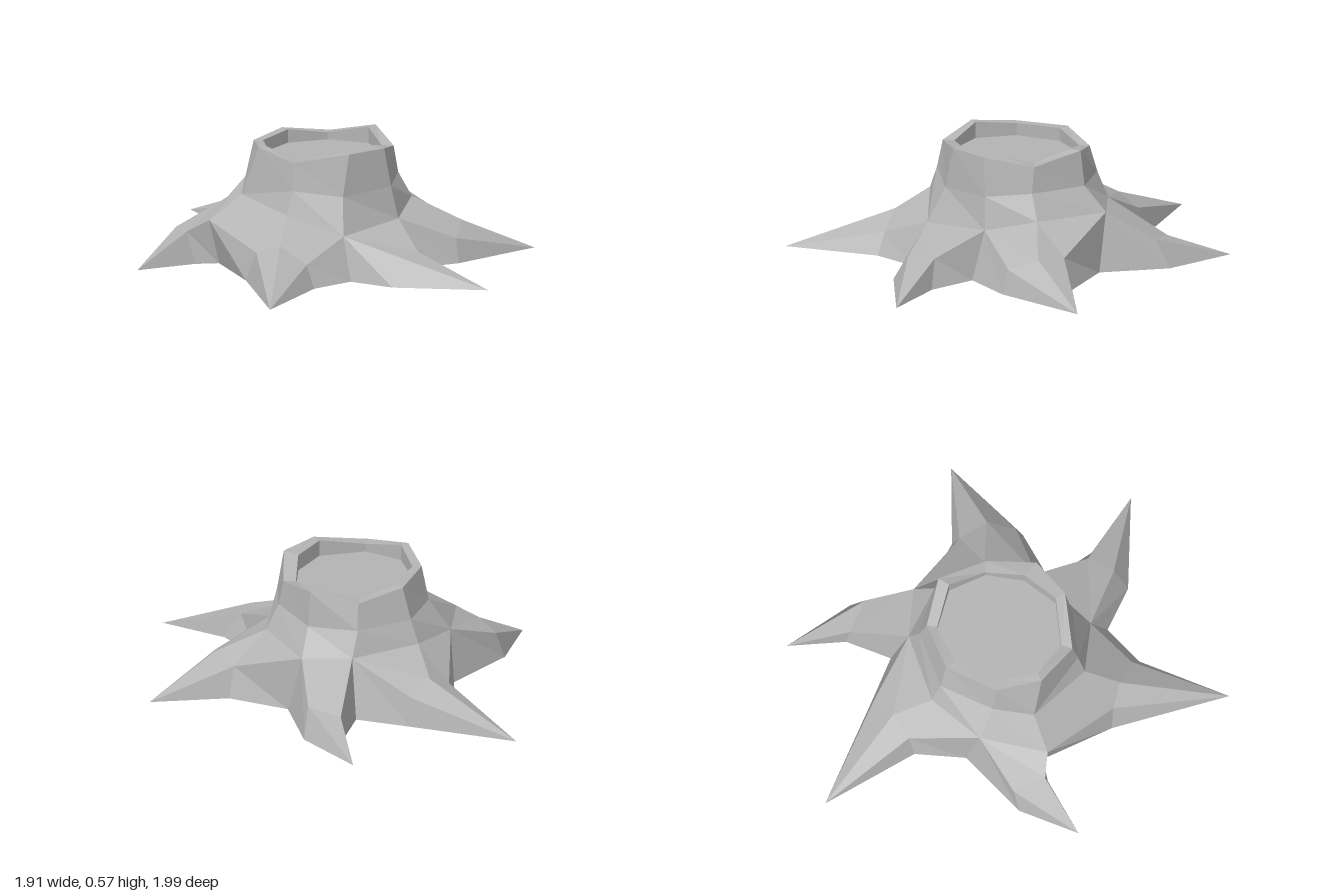
import * as THREE from 'three';

const V = (p) => new THREE.Vector3(p[0], p[1], p[2]);

// Joins two point rows (upper, lower; clockwise seen from above) into triangles
function strip(out, upper, lower, closed = false) {
  const n = upper.length;
  for (let i = 0; i < (closed ? n : n - 1); i++) {
    const j = (i + 1) % n;
    tri(out, upper[i], upper[j], lower[i]);
    tri(out, upper[j], lower[j], lower[i]);
  }
}

function tri(out, a, b, c) {
  const area = V(b).sub(V(a)).cross(V(c).sub(V(a))).length();
  if (area > 1e-7) out.push(...a, ...b, ...c);
}

function facetMesh(name, points, material) {
  const g = new THREE.BufferGeometry();
  g.setAttribute('position', new THREE.Float32BufferAttribute(points, 3));
  g.computeVertexNormals();
  const mesh = new THREE.Mesh(g, material);
  mesh.name = name;
  return mesh;
}

export function createModel() {
  const group = new THREE.Group();
  group.name = 'treeStump';
  const wood = new THREE.MeshStandardMaterial({ color: 0xb4b4b4, flatShading: true });
  wood.name = 'greyWood';

  // Nine-sided rings, clockwise seen from above, starting at the back
  const rimOuter = [[-.11, .555, -.27], [.13, .525, -.25], [.3, .57, -.1], [.29, .525, .15], [.16, .57, .35],
    [-.04, .57, .4], [-.29, .53, .31], [-.38, .57, .1], [-.32, .55, -.11]];
  const innerXZ = [[-.1, -.22], [.1, -.21], [.25, -.07], [.24, .12], [.13, .27],
    [-.04, .35], [-.25, .27], [-.34, .1], [-.28, -.09]];
  const rimInner = innerXZ.map(([x, z], i) => [x, rimOuter[i][1], z]);
  const floorRing = innerXZ.map(([x, z]) => [x, .49, z]);
  const waist = [[-.13, .4, -.31], [.15, .4, -.28], [.32, .4, -.11], [.305, .4, .17], [.19, .385, .36],
    [-.08, .37, .42], [-.3, .4, .335], [-.44, .33, .03], [-.34, .38, -.14]];
  const collar = [[-.14, .29, -.36], [.2, .28, -.31], [.4, .28, -.18], [.37, .28, .18], [.22, .23, .38],
    [-.11, .2, .5], [-.34, .29, .35], [-.6, .215, .02], [-.4, .25, -.24]];

  // Trunk
  const trunk = [];
  strip(trunk, rimOuter, waist, true);
  strip(trunk, waist, collar, true);
  group.add(facetMesh('trunk', trunk, wood));

  // Rim with its inner wall
  const rim = [];
  strip(rim, rimInner, rimOuter, true);
  strip(rim, floorRing, rimInner, true);
  group.add(facetMesh('rim', rim, wood));

  // Cut face sunk inside the rim
  const cut = [];
  floorRing.forEach((p, i) => tri(cut, p, [-.04, .49, .05], floorRing[(i + 1) % 9]));
  group.add(facetMesh('cutFace', cut, wood));

  // Ground points below the notches between roots, by collar index
  const notch = { 1: [.23, 0, -.39], 2: [.44, 0, -.12], 4: [.24, 0, .46],
    5: [-.11, 0, .59], 7: [-.55, 0, .02], 8: [-.38, 0, -.3] };

  // Roots: collar indices, shoulder points, tip, and the two shoulder feet
  const roots = [
    { name: 'backRoot', at: [8, 0, 1], tip: [-.28, 0, -1],
      top: [[-.21, .13, -.52], [-.09, .19, -.54], [.04, .14, -.57]], feet: [[-.25, 0, -.51], [.06, 0, -.59]] },
    { name: 'backLeftRoot', at: [1, 2], tip: [.51, 0, -.8],
      top: [[.4, .11, -.52], [.5, .14, -.39]], feet: [[.4, 0, -.54], [.555, 0, -.44]] },
    { name: 'leftRoot', at: [2, 3, 4], tip: [.95, 0, .3],
      top: [[.57, .15, .15], [.58, .17, .3], [.5, .115, .415]], feet: [[.61, 0, .13], [.5, 0, .45]] },
    { name: 'frontLeftRoot', at: [4, 5], tip: [.43, 0, .99],
      top: [[.21, .13, .65], [.1, .125, .73]], feet: [[.27, 0, .7], [.03, 0, .77]] },
    { name: 'frontRightRoot', at: [5, 6, 7], tip: [-.67, 0, .95],
      top: [[-.34, .105, .6], [-.43, .18, .49], [-.52, .14, .41]], feet: [[-.32, 0, .65], [-.56, 0, .38]] },
    { name: 'rightRoot', at: [7, 8], tip: [-.96, 0, 0],
      top: [[-.69, .155, -.04], [-.68, .14, -.2]], feet: [[-.66, 0, -.01], [-.73, 0, -.2]] },
  ];

  const outline = [];
  for (const { name, at, tip, top, feet } of roots) {
    const base = at.map((i) => collar[i]);
    const end = at.length - 1;
    const first = notch[at[0]], last = notch[at[end]];
    const pts = [];
    strip(pts, base, top);
    strip(pts, top, top.map(() => tip));
    strip(pts, [base[0], top[0], tip], [first, feet[0], tip]);
    strip(pts, [tip, top[end], base[end]], [tip, feet[1], last]);
    group.add(facetMesh(name, pts, wood));
    outline.push(first, feet[0], tip, feet[1]);
  }

  // Flat underside
  const shape = new THREE.Shape(outline.map(([x, , z]) => new THREE.Vector2(x, z)));
  const under = new THREE.Mesh(new THREE.ShapeGeometry(shape).rotateX(Math.PI / 2), wood);
  under.name = 'underside';
  group.add(under);

  return group;
}
